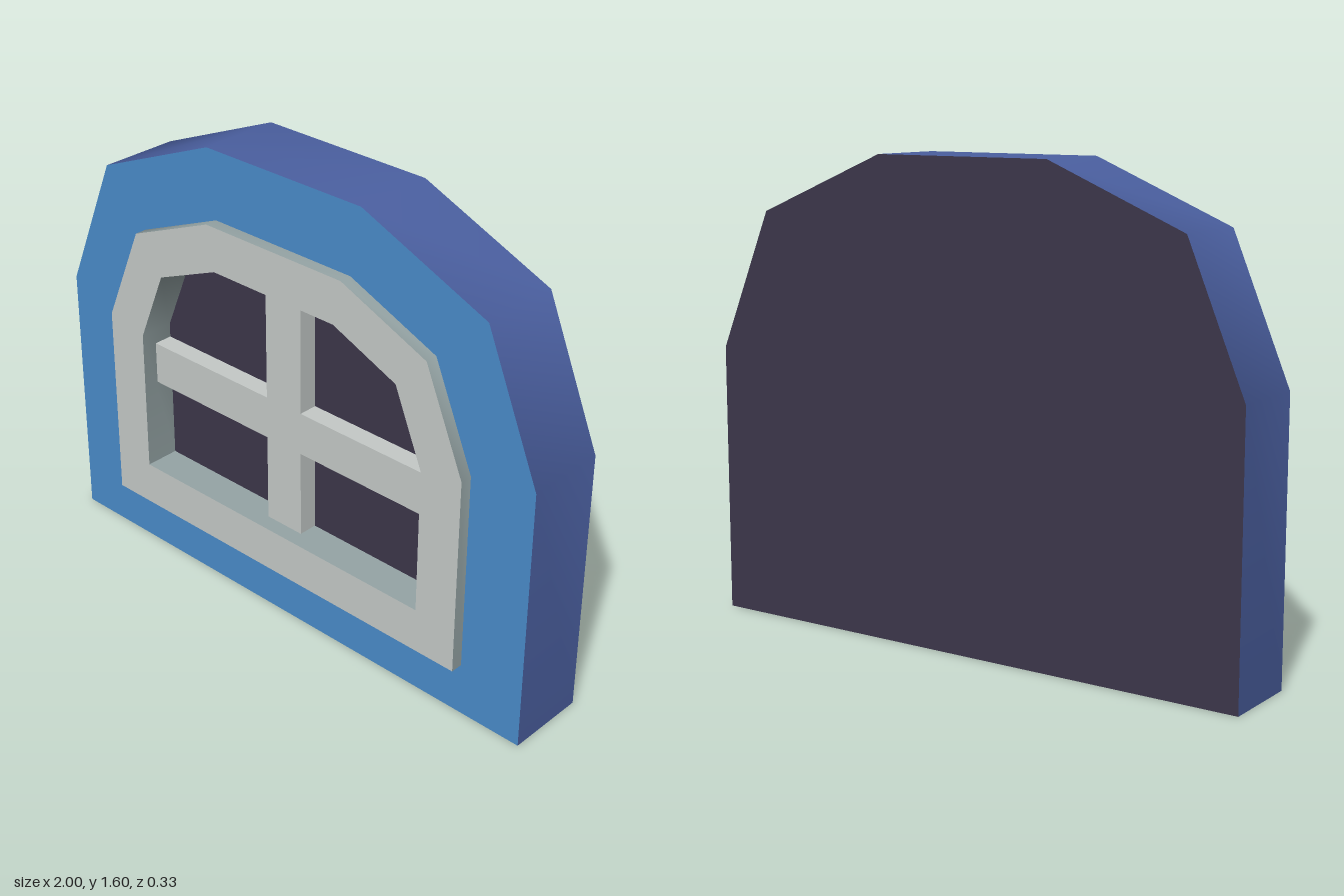
import * as THREE from 'three';

const mat = (name, color, side = THREE.FrontSide) => {
  const m = new THREE.MeshStandardMaterial({ color, side });
  m.name = name;
  return m;
};

// Arch outline: right half from the bottom corner to the crown, mirrored to the left
const arch = (half, cx = 0) => [
  ...half.map(([x, y]) => new THREE.Vector2(cx + x, y)),
  ...[...half].reverse().map(([x, y]) => new THREE.Vector2(cx - x, y)),
];

// Smooth strip swept along z; faces the right-hand side of the path
function band(points, z0, z1) {
  const pos = [], idx = [];
  points.forEach((p, i) => {
    pos.push(p.x, p.y, z0, p.x, p.y, z1);
    if (i) {
      const a = 2 * i - 2, b = 2 * i;
      idx.push(a, b, b + 1, a, b + 1, a + 1);
    }
  });
  const g = new THREE.BufferGeometry();
  g.setAttribute('position', new THREE.Float32BufferAttribute(pos, 3));
  g.setIndex(idx);
  g.computeVertexNormals();
  return g;
}

// Flat arch face with an optional arch opening
function face(outer, z, hole) {
  const s = new THREE.Shape(outer);
  if (hole) s.holes.push(new THREE.Path(hole));
  return new THREE.ShapeGeometry(s).translate(0, 0, z);
}

export function createModel() {
  const group = new THREE.Group();
  group.name = 'archedWindow';

  const wallBlue = mat('wallBlue', 0x4a8bc9);
  const edgeBlue = mat('edgeBlue', 0x4b60a1);
  const frameGrey = mat('frameGrey', 0xc4c9c7);
  const frameEdge = mat('frameEdgeGrey', 0x95a4a5);
  const dark = mat('darkPurple', 0x3c364a);

  const add = (name, geometry, material, parent = group) => {
    const m = new THREE.Mesh(geometry, material);
    m.name = name;
    parent.add(m);
    return m;
  };
  const ends = (pts) => [pts[pts.length - 1], pts[0]];

  const BACK = -0.163, WALL = 0.12, FRONT = 0.163, PANE = 0.04;
  const CX = -0.002;
  const wall = arch([[1, 0], [1, 0.925], [0.8, 1.4], [0.32, 1.6]]);
  const outer = arch([[0.767, 0.185], [0.767, 0.88], [0.62, 1.225], [0.284, 1.365]], CX);
  const inner = arch([[0.612, 0.34], [0.612, 0.85], [0.506, 1.105], [0.255, 1.21]], CX);
  const innerRev = [...inner].reverse();

  // Surround block
  const block = new THREE.Group();
  block.name = 'surround';
  group.add(block);
  add('surroundFront', face(wall, WALL, outer), wallBlue, block);
  add('surroundEdge', band(wall, BACK, WALL), edgeBlue, block);
  add('surroundBottom', band(ends(wall), BACK, WALL), dark, block);
  add('surroundBack', face(wall, -BACK).rotateY(Math.PI), dark, block);

  // Raised frame with a deep reveal down to the pane
  const frame = new THREE.Group();
  frame.name = 'frame';
  group.add(frame);
  add('frameFront', face(outer, FRONT, inner), frameGrey, frame);
  add('frameOuterEdge', band(outer, WALL, FRONT), frameEdge, frame);
  add('frameOuterBottom', band(ends(outer), WALL, FRONT), frameEdge, frame);
  add('frameReveal', band(innerRev, PANE, FRONT), frameEdge, frame);
  add('frameSill', band(ends(innerRev), PANE, FRONT), frameEdge, frame);

  // Dark pane
  add('pane', face(inner, PANE), dark);

  // Crossed glazing bars, slightly recessed
  const barDepth = 0.067;
  add('verticalBar', new THREE.BoxGeometry(0.15, 0.87, barDepth), frameGrey)
    .position.set(-0.01, 0.775, PANE + barDepth / 2);
  add('horizontalBar', new THREE.BoxGeometry(1.224, 0.15, barDepth), frameGrey)
    .position.set(CX, 0.725, PANE + barDepth / 2);

  return group;
}
